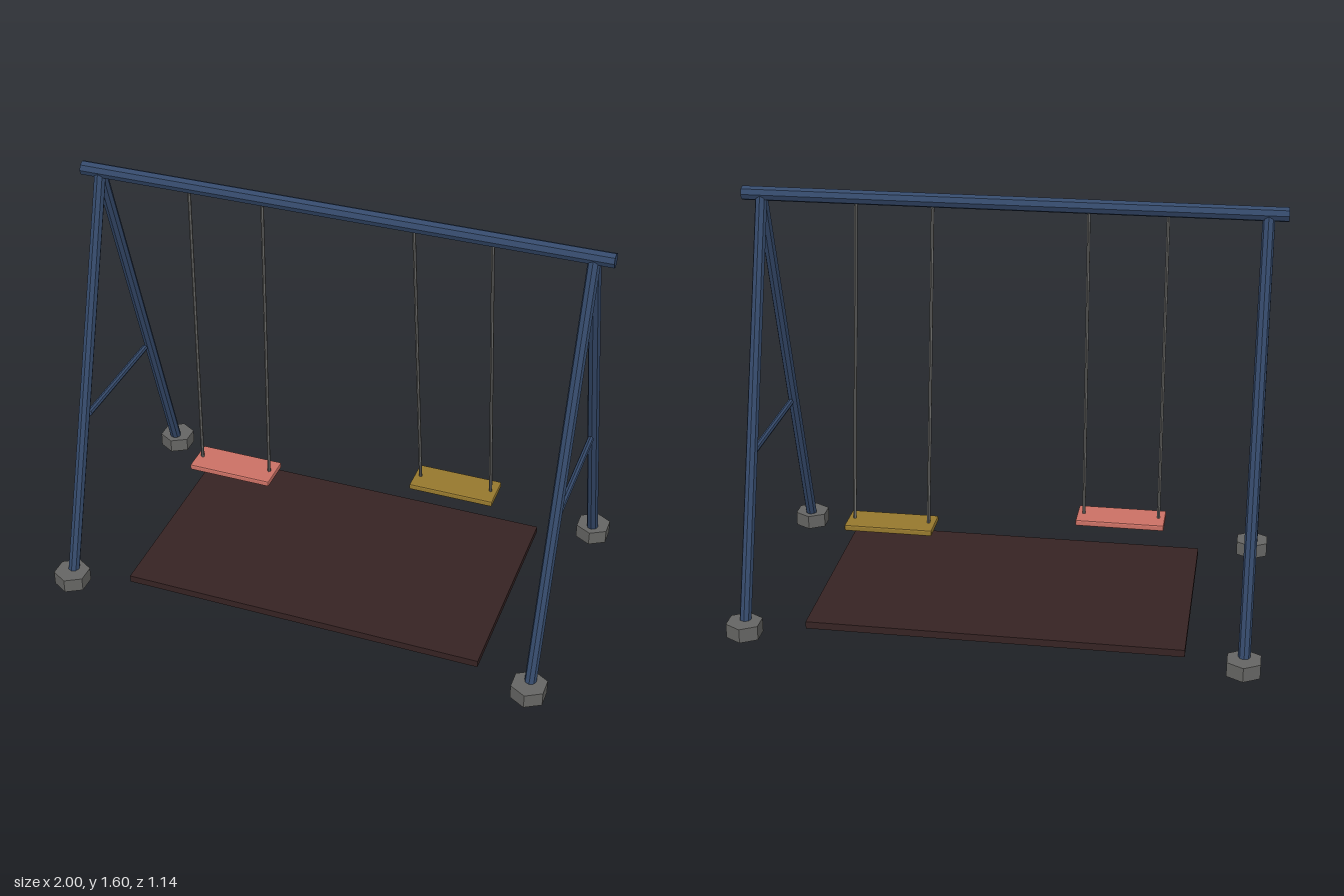
import * as THREE from 'three';
import { RoundedBoxGeometry } from 'three/addons/geometries/RoundedBoxGeometry.js';

const material = (name, color) => {
  const m = new THREE.MeshStandardMaterial({ color, flatShading: true });
  m.name = name;
  return m;
};

export function createModel() {
  const blue = material('blue steel', 0x34496a);
  const grey = material('grey metal', 0x666664);
  const red = material('coral seat', 0xcc7165);
  const yellow = material('mustard seat', 0x97792e);
  const brown = material('dark brown rubber', 0x362323);

  const group = new THREE.Group();
  group.name = 'swingSet';

  const add = (name, geometry, mat, x = 0, y = 0, z = 0) => {
    const mesh = new THREE.Mesh(geometry, mat);
    mesh.name = name;
    mesh.position.set(x, y, z);
    group.add(mesh);
    return mesh;
  };

  // Straight bar between two points
  const bar = (name, from, to, radius, sides, mat) => {
    const a = new THREE.Vector3(...from);
    const b = new THREE.Vector3(...to);
    const dir = b.clone().sub(a);
    const mesh = add(name, new THREE.CylinderGeometry(radius, radius, dir.length(), sides), mat);
    mesh.position.copy(a).add(b).multiplyScalar(0.5);
    mesh.quaternion.setFromUnitVectors(new THREE.Vector3(0, 1, 0), dir.normalize());
  };

  const topY = 1.577;

  // Top beam
  bar('topBeam', [-1, topY, 0], [1, topY, 0], 0.027, 8, blue);

  // A-frames with feet and cross braces
  for (const side of [-1, 1]) {
    const x = side * 0.928;
    for (const end of [-1, 1]) {
      bar('leg', [x, 0.007, end * 0.5], [x, topY, 0], 0.0225, 8, blue);
      add('foot', new THREE.CylinderGeometry(0.07, 0.07, 0.056, 6), grey, x, 0.037, end * 0.5);
    }
    bar('crossBrace', [x, 0.655, -0.25], [x, 0.655, 0.25], 0.0125, 8, blue);
  }

  // Swings: one at rest, one swung back
  const swings = [
    { name: 'leftSwing', x: 0.428, z: -0.178, mat: yellow },
    { name: 'rightSwing', x: -0.43, z: 0, mat: red },
  ];
  for (const { name, x, z, mat } of swings) {
    add(name + 'Seat', new RoundedBoxGeometry(0.336, 0.024, 0.14, 1, 0.006), mat, x, 0.355, z);
    for (const side of [-1, 1]) {
      const rx = x + side * 0.143;
      bar(name + 'Hanger', [rx, 0.36, z], [rx, topY - 0.015, 0], 0.0065, 6, grey);
    }
  }

  // Ground mat
  add('groundMat', new THREE.BoxGeometry(1.425, 0.028, 0.855), brown, 0, 0.027, 0);

  return group;
}
